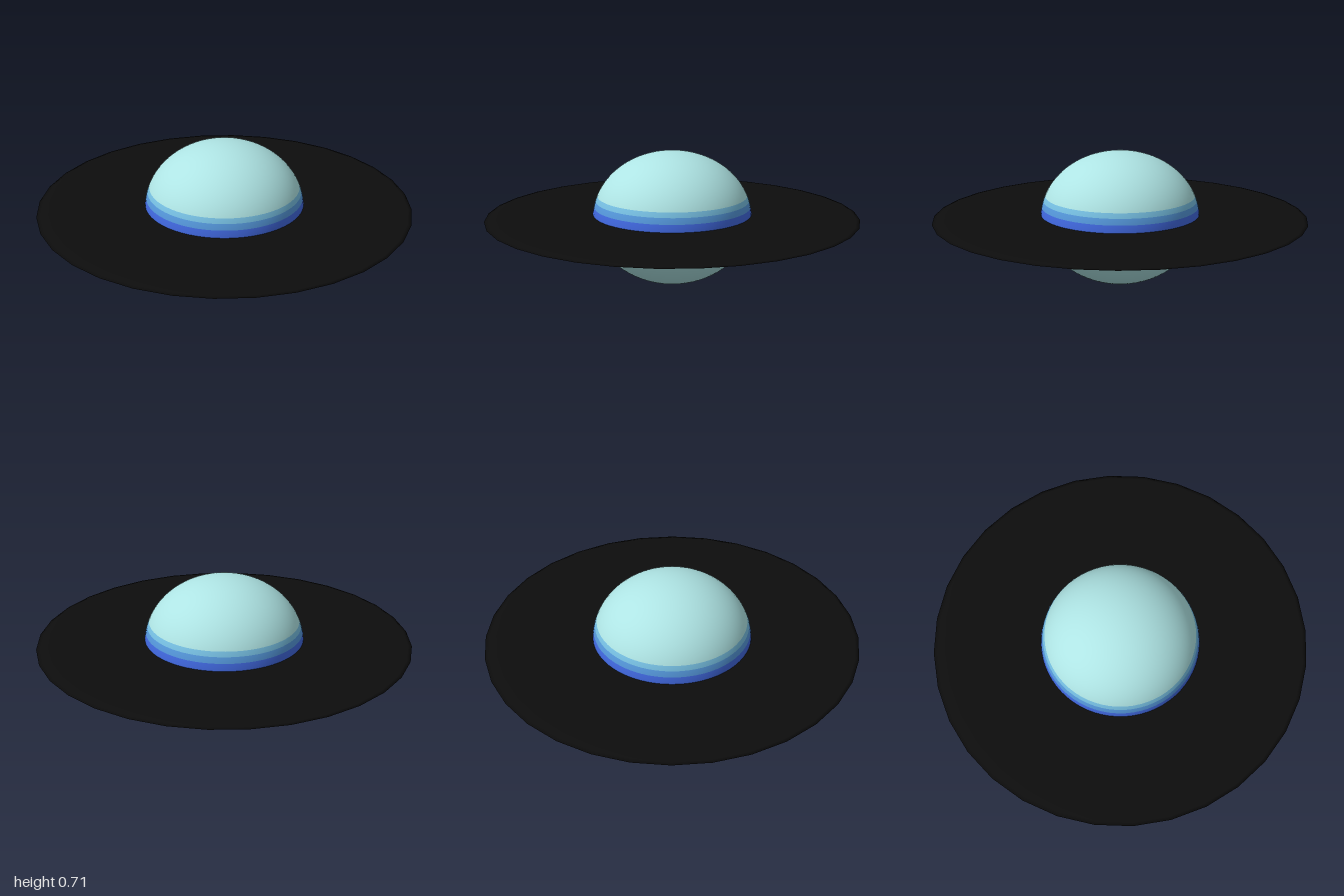
import * as THREE from 'three';

const RX = 0.425, RY = 0.356;

export function createModel() {
  const group = new THREE.Group();
  group.name = 'ringedPlanet';
  const material = (name, color) => {
    const m = new THREE.MeshStandardMaterial({ color });
    m.name = name;
    return m;
  };
  const pale = material('paleCyan', 0xaee4e4);
  const sky = material('skyBlue', 0x76bfe2);
  const mid = material('midBlue', 0x5598dc);
  const royal = material('royalBlue', 0x4169e1);
  const black = material('ringBlack', 0x0d0d0d);

  // Slice of the flattened globe between two heights (fractions of its half height)
  function zone(name, top, bottom, mat, rows) {
    const start = Math.acos(top);
    const geo = new THREE.SphereGeometry(1, 64, rows, 0, Math.PI * 2, start, Math.acos(bottom) - start);
    geo.scale(RX, RY, RX);
    const mesh = new THREE.Mesh(geo, mat);
    mesh.name = name;
    mesh.position.y = RY;
    group.add(mesh);
  }

  // Caps and mirrored cloud bands
  zone('northCap', 1, 0.335, pale, 24);
  zone('southCap', -0.335, -1, pale, 24);
  zone('equatorBand', 0.168, -0.168, royal, 8);
  for (const [name, hi, lo, mat] of [['innerBand', 0.26, 0.168, mid], ['outerBand', 0.335, 0.26, sky]]) {
    zone(name + 'North', hi, lo, mat, 3);
    zone(name + 'South', -lo, -hi, mat, 3);
  }

  // Thin lens-shaped ring disc
  const discGeo = new THREE.SphereGeometry(1, 32, 16);
  discGeo.scale(1, 0.022, 1);
  const disc = new THREE.Mesh(discGeo, black);
  disc.name = 'ringDisc';
  disc.position.y = RY;
  group.add(disc);

  return group;
}
